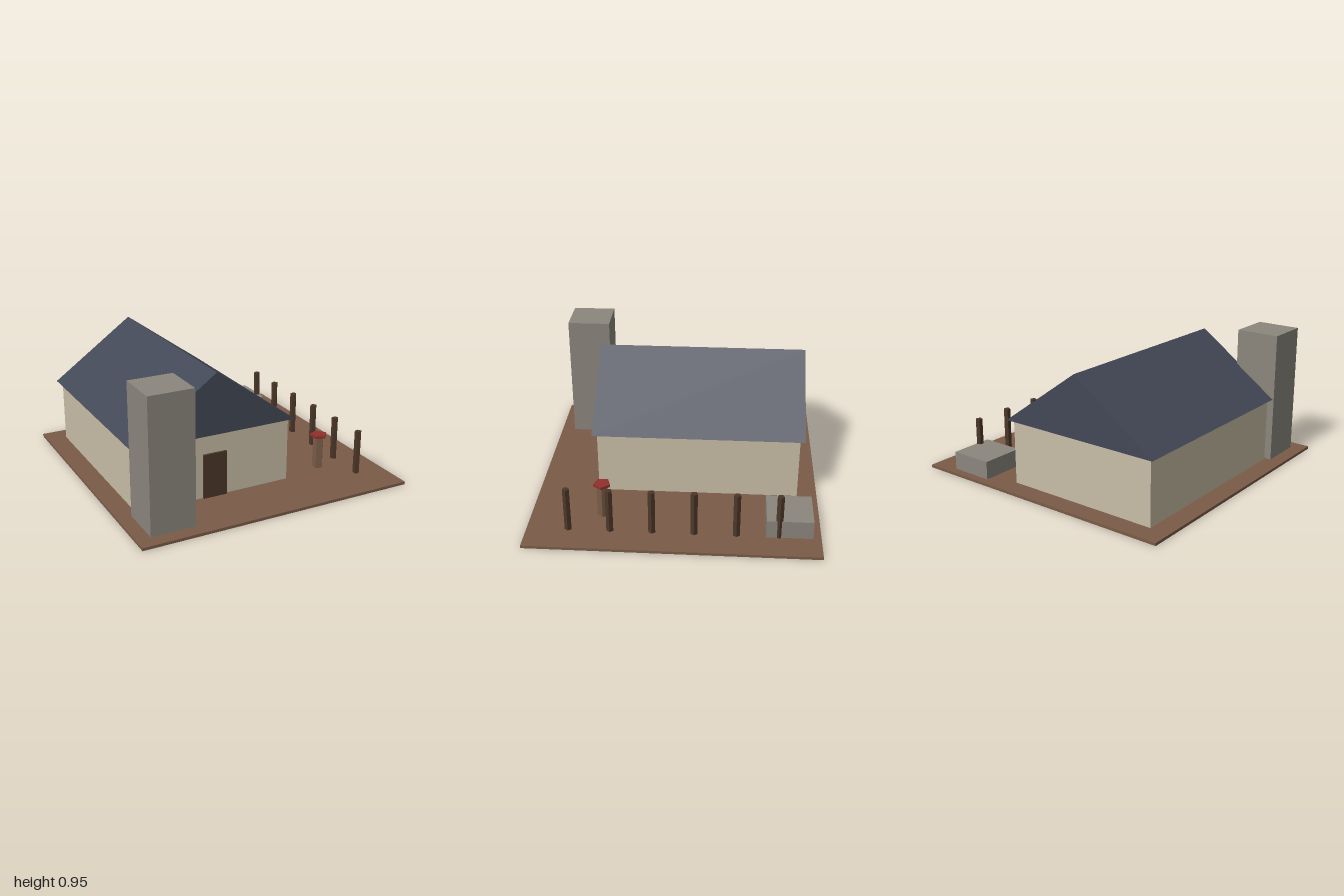
import * as THREE from 'three';

const mat = (name, color) => {
  const m = new THREE.MeshStandardMaterial({ color });
  m.name = name;
  return m;
};

export function createModel() {
  const model = new THREE.Group();
  model.name = 'farmhouse';
  const earth = mat('earthBrown', 0x7a5c47);
  const plaster = mat('plaster', 0xc8bda6);
  const slate = mat('slate', 0x434856);
  const stone = mat('stone', 0x8b867d);
  const wood = mat('darkWood', 0x4c3729);
  const red = mat('red', 0x8f302b);

  const add = (name, geometry, material, x, y, z) => {
    const mesh = new THREE.Mesh(geometry, material);
    mesh.name = name;
    mesh.position.set(x, y, z);
    model.add(mesh);
    return mesh;
  };
  // Box placed by its footprint centre and its bottom and top heights
  const box = (name, material, x, z, w, d, y0, y1) =>
    add(name, new THREE.BoxGeometry(w, y1 - y0, d), material, x, (y0 + y1) / 2, z);
  // Five-sided faceted column with one corner towards +x
  const column = (name, material, x, z, r, y0, y1) => {
    const g = new THREE.CylinderGeometry(r, r, y1 - y0, 5).rotateY(Math.PI / 2).toNonIndexed();
    g.computeVertexNormals();
    return add(name, g, material, x, (y0 + y1) / 2, z);
  };

  const ground = 0.02;
  box('ground', earth, 0, 0, 2, 2, 0, ground);

  // House
  const hx = -0.286, hz = -0.143;
  box('walls', plaster, hx, hz, 1.143, 1.43, ground, 0.482);
  box('door', wood, hx, 0.575, 0.175, 0.026, ground, 0.34);

  // Gabled roof, ridge along z, overhanging the walls
  const gable = new THREE.Shape([
    new THREE.Vector2(-0.606, 0),
    new THREE.Vector2(0.606, 0),
    new THREE.Vector2(0, 0.434),
  ]);
  const roof = new THREE.ExtrudeGeometry(gable, { depth: 1.5, bevelEnabled: false });
  add('roof', roof, slate, hx, 0.482, hz - 0.75);

  // Stone tower and low stone block
  box('tower', stone, -0.744, 0.743, 0.315, 0.315, ground, 0.954);
  box('stoneBlock', stone, 0.643, -0.786, 0.315, 0.315, ground, 0.15);

  // Row of fence posts
  for (let i = 0; i < 6; i++) {
    column('fencePost', wood, 0.786, 0.714 - i * 0.2857, 0.025, ground, 0.34);
  }

  // Stand with a red cap
  column('standPole', earth, 0.598, 0.5, 0.04, ground, 0.257);
  column('standCap', red, 0.598, 0.5, 0.062, 0.257, 0.275);

  return model;
}
